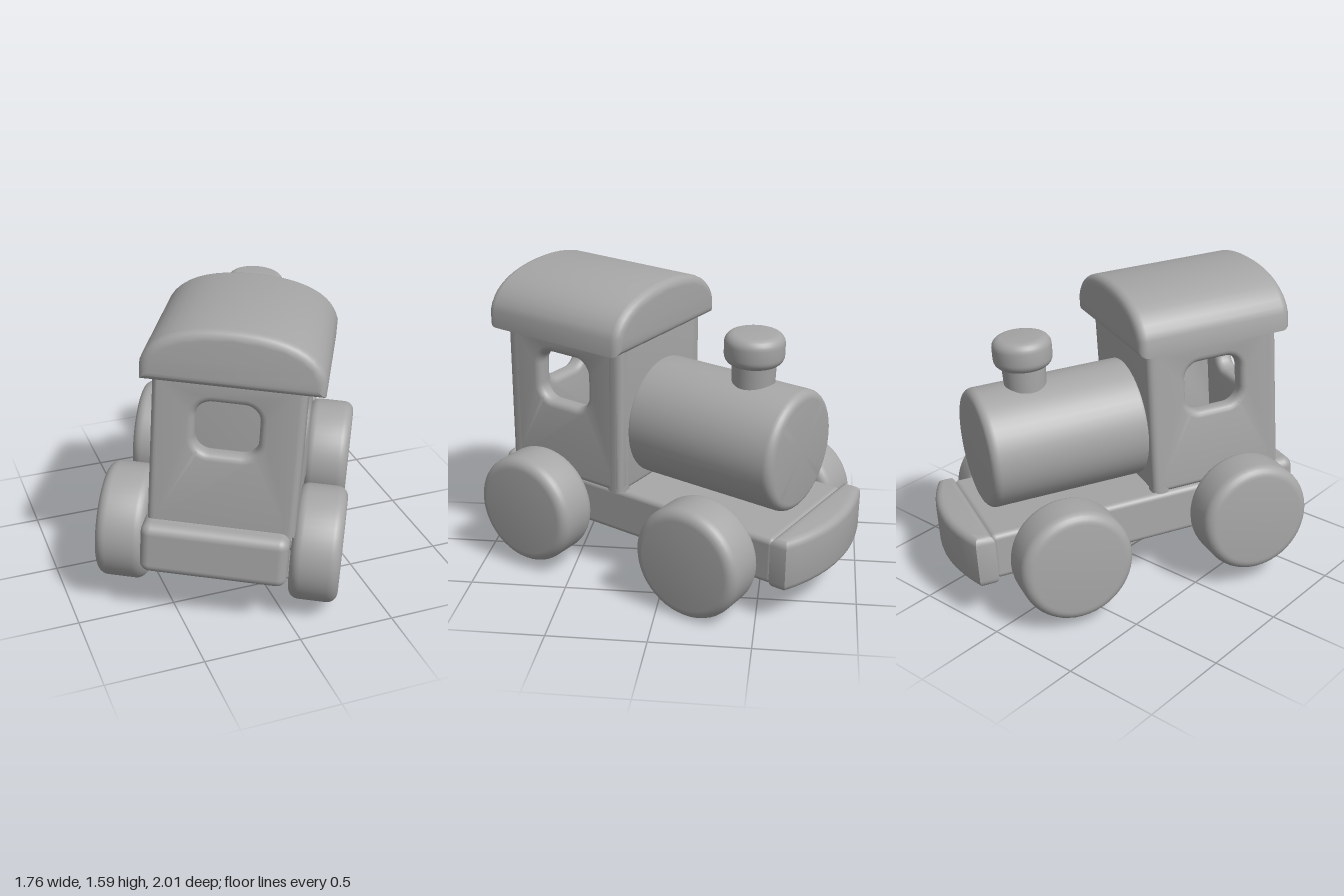
import * as THREE from 'three';
import { toCreasedNormals } from 'three/addons/utils/BufferGeometryUtils.js';
import { RoundedBoxGeometry } from 'three/addons/geometries/RoundedBoxGeometry.js';

const paint = new THREE.MeshStandardMaterial({ color: 0xa6a6a6 });
paint.name = 'plain grey';

// Rounded window outline centred on (x, y)
function windowHole(x, y, w, h, r) {
  const path = new THREE.Path();
  const a = w / 2 - r, b = h / 2 - r, q = Math.PI / 2;
  path.absarc(x + a, y + b, r, 0, q);
  path.absarc(x - a, y + b, r, q, 2 * q);
  path.absarc(x - a, y - b, r, 2 * q, 3 * q);
  path.absarc(x + a, y - b, r, 3 * q, 4 * q);
  path.closePath();
  return path;
}

// Soft-edged plate of a given total thickness, centred on z = 0
function slab(shape, thickness, edge) {
  const depth = thickness - 2 * edge;
  const geo = new THREE.ExtrudeGeometry(shape, {
    depth, curveSegments: 10, bevelEnabled: true, bevelSegments: 4,
    bevelThickness: edge, bevelSize: edge, bevelOffset: -edge,
  });
  geo.translate(0, 0, -depth / 2);
  return toCreasedNormals(geo, 0.6);
}

// Solid disc or barrel along y with rounded rims
function drum(radius, height, edge) {
  const pts = [new THREE.Vector2(0, -height / 2)];
  for (const s of [-1, 1]) {
    for (let i = 0; i <= 6; i++) {
      const a = (s < 0 ? i - 6 : i) * Math.PI / 12;
      pts.push(new THREE.Vector2(
        radius - edge + edge * Math.cos(a),
        s * (height / 2 - edge) + edge * Math.sin(Math.abs(a)) * s));
    }
  }
  pts.push(new THREE.Vector2(0, height / 2));
  return toCreasedNormals(new THREE.LatheGeometry(pts, 48), 0.6);
}

export function createModel() {
  const model = new THREE.Group();
  model.name = 'toyTrain';
  const train = new THREE.Group();
  train.name = 'train';
  model.add(train);

  const add = (name, geo, x, y, z, parent = train) => {
    const mesh = new THREE.Mesh(geo, paint);
    mesh.name = name;
    mesh.position.set(x, y, z);
    parent.add(mesh);
    return mesh;
  };

  // Chassis and rear beam (the train runs towards its own -z)
  add('chassis', new RoundedBoxGeometry(0.71, 0.25, 1.66, 4, 0.03), 0, 0.025, -0.03);
  add('rearBeam', new RoundedBoxGeometry(0.73, 0.27, 0.2, 4, 0.05), 0, 0.04, 0.75);

  // Curved front bumper
  const plan = new THREE.Shape();
  plan.moveTo(-0.39, 0.85);
  plan.lineTo(0.37, 0.85);
  plan.lineTo(0.37, 0.94);
  plan.quadraticCurveTo(0, 1.11, -0.39, 0.95);
  plan.closePath();
  add('frontBumper', slab(plan, 0.28, 0.04), 0, 0.03, 0).rotation.x = -Math.PI / 2;

  // Wheels, set close against the chassis, and axles
  const wheelGeo = drum(0.295, 0.25, 0.055);
  const axleGeo = new THREE.CylinderGeometry(0.06, 0.06, 0.9, 24);
  const wheels = [
    ['frontRightWheel', 0.475, -0.495], ['frontLeftWheel', -0.495, -0.495],
    ['rearRightWheel', 0.495, 0.515], ['rearLeftWheel', -0.48, 0.505],
  ];
  for (const [name, x, z] of wheels) add(name, wheelGeo, x, 0, z).rotation.z = Math.PI / 2;
  add('frontAxle', axleGeo, 0, 0, -0.495).rotation.z = Math.PI / 2;
  add('rearAxle', axleGeo, 0, 0, 0.51).rotation.z = Math.PI / 2;

  // Boiler
  add('boiler', drum(0.314, 0.87, 0.045), 0, 0.471, -0.365).rotation.x = Math.PI / 2;

  // Chimney
  add('chimneyStem', new THREE.CylinderGeometry(0.115, 0.105, 0.24, 32), -0.01, 0.8, -0.502);
  add('chimneyCap', drum(0.152, 0.16, 0.05), -0.01, 0.955, -0.502);

  // Hollow cab made of four walls, windows at the rear and both sides
  const cab = new THREE.Group();
  cab.name = 'cab';
  cab.position.set(0.02, 0.555, 0.4);
  train.add(cab);
  const W = 0.73, H = 0.82, T = 0.1;
  const wall = (hasWindow) => {
    const shape = new THREE.Shape();
    shape.moveTo(-W / 2, -H / 2);
    shape.lineTo(W / 2, -H / 2);
    shape.lineTo(W / 2, H / 2);
    shape.lineTo(-W / 2, H / 2);
    shape.closePath();
    if (hasWindow) shape.holes.push(windowHole(0, 0.14, 0.31, 0.27, 0.08));
    return slab(shape, T, 0.035);
  };
  const windowWall = wall(true), off = (W - T) / 2;
  add('rearWall', windowWall, 0, 0, off, cab);
  add('frontWall', wall(false), 0, 0, -off, cab);
  add('rightWall', windowWall, off, 0, 0, cab).rotation.y = Math.PI / 2;
  add('leftWall', windowWall, -off, 0, 0, cab).rotation.y = -Math.PI / 2;

  // Arched roof
  const arch = new THREE.Shape();
  arch.moveTo(-0.435, 0);
  arch.lineTo(0.435, 0);
  arch.lineTo(0.435, 0.09);
  arch.bezierCurveTo(0.4, 0.22, 0.24, 0.285, 0, 0.285);
  arch.bezierCurveTo(-0.24, 0.285, -0.4, 0.22, -0.435, 0.09);
  arch.closePath();
  add('roof', slab(arch, 0.84, 0.045), 0.035, 0.932, 0.4);

  // The toy stands turned and slightly tilted
  train.rotation.set(-0.045, -0.48, -0.052, 'YXZ');
  train.position.set(0.01, 0.345, 0.02);
  return model;
}
